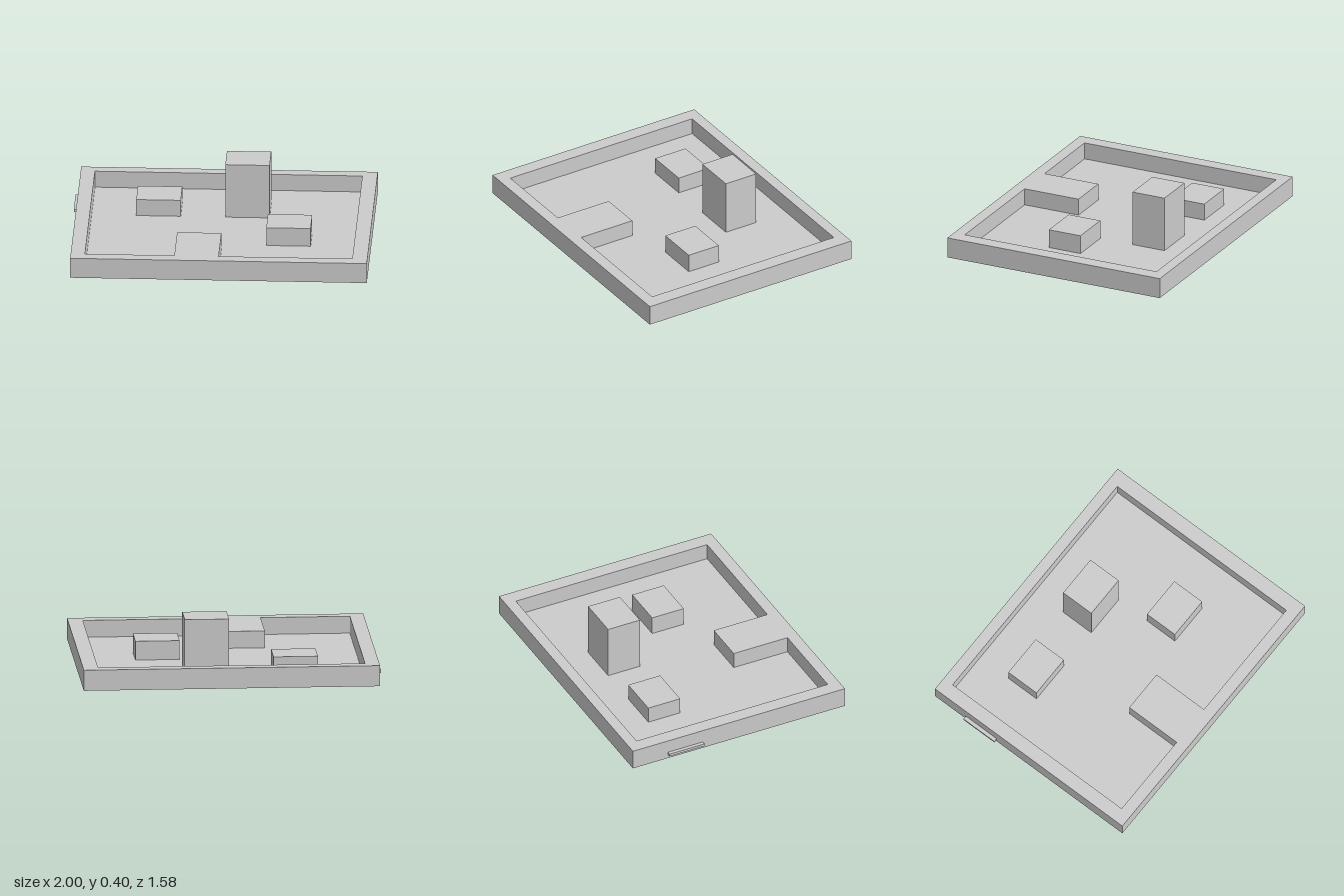
import * as THREE from 'three';

const FLOOR = 0.025, RIM = 0.14;

export function createModel() {
  const group = new THREE.Group();
  const material = new THREE.MeshStandardMaterial({ color: 0xcccccc, flatShading: true });

  // Box given by its extents along each axis
  const addBox = (name, [x0, x1], [y0, y1], [z0, z1]) => {
    const mesh = new THREE.Mesh(new THREE.BoxGeometry(x1 - x0, y1 - y0, z1 - z0), material);
    mesh.position.set((x0 + x1) / 2, (y0 + y1) / 2, (z0 + z1) / 2);
    mesh.name = name;
    group.add(mesh);
  };
  const points = (list) => list.map(([x, z]) => new THREE.Vector2(x, -z));

  // Flat slabs cut from a plan outline in x and z
  const outline = points([[-0.975, 0.79], [1, 0.79], [1, -0.79], [-0.975, -0.79]]);
  const addSlab = (name, shape, y0, y1) => {
    const geometry = new THREE.ExtrudeGeometry(shape, { depth: y1 - y0, bevelEnabled: false });
    geometry.rotateX(-Math.PI / 2).translate(0, y0, 0);
    const mesh = new THREE.Mesh(geometry, material);
    mesh.name = name;
    group.add(mesh);
  };
  addSlab('trayFloor', new THREE.Shape(outline), 0, FLOOR);

  // Rim with the front ledge reaching into the recess
  const rim = new THREE.Shape(outline);
  rim.holes.push(new THREE.Path(points([
    [-0.88, 0.71], [-0.88, -0.715], [0.9, -0.715], [0.9, 0.71],
    [0.01, 0.71], [0.01, 0.31], [-0.285, 0.31], [-0.285, 0.71],
  ])));
  addSlab('trayRim', rim, FLOOR, RIM);

  // Blocks standing on the floor
  addBox('lowBlock', [-0.583, -0.287], [FLOOR, RIM], [-0.477, -0.24]);
  addBox('tallBlock', [0.01, 0.305], [FLOOR, 0.403], [-0.477, -0.24]);
  addBox('mediumBlock', [0.305, 0.6], [FLOOR, 0.153], [0, 0.235]);

  // Tab on the side wall
  addBox('sideTab', [-1, -0.975], [0.03, 0.048], [-0.53, -0.27]);
  return group;
}
